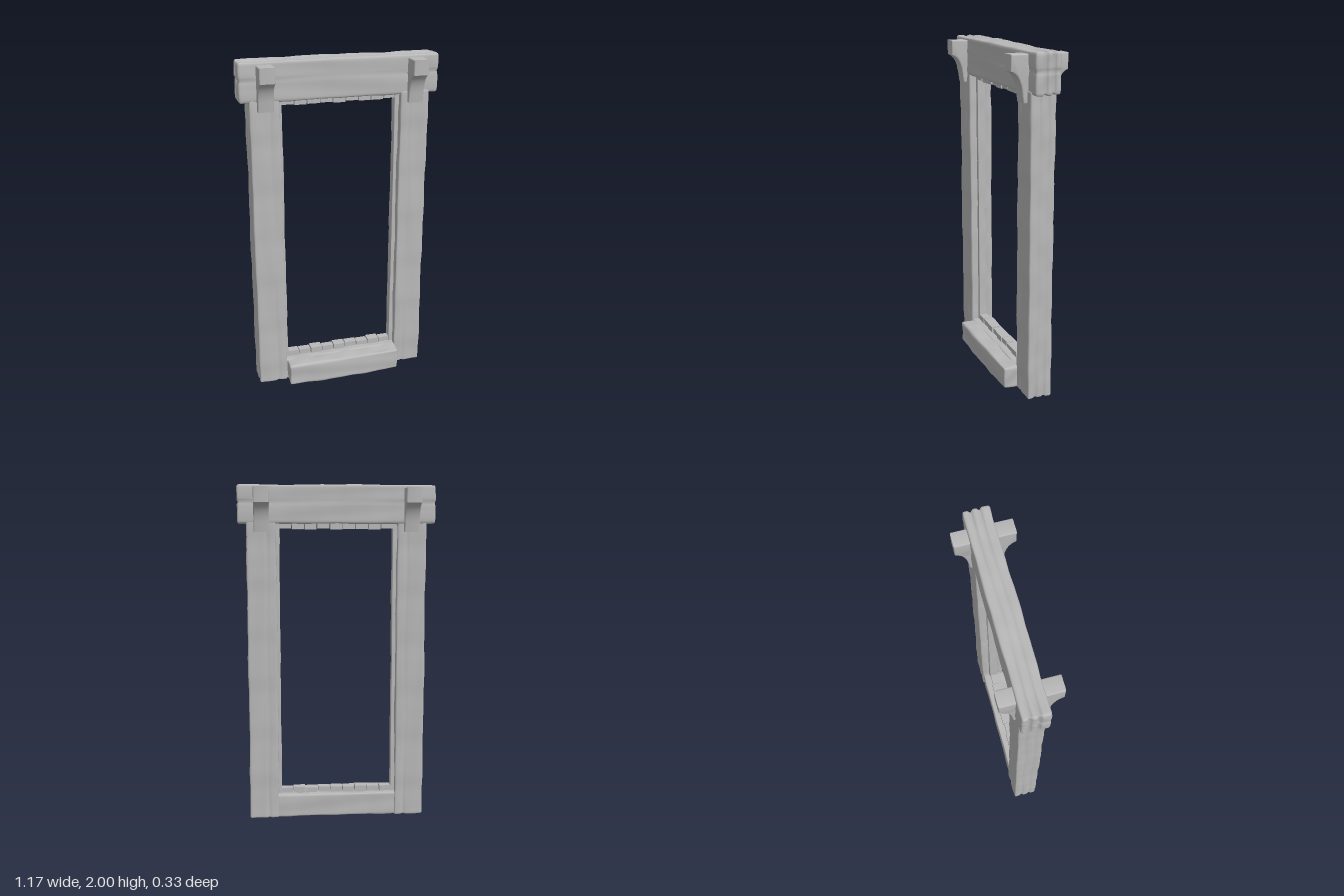
import * as THREE from 'three';
import { mergeVertices, toCreasedNormals } from 'three/addons/utils/BufferGeometryUtils.js';

const weathered = new THREE.MeshStandardMaterial({ color: 0xb8b8b8 });
weathered.name = 'weatheredGrey';

// Smooth unevenness in 0..1, stretched along the beam
function wobble(along, a, b, seed) {
  const s = Math.sin(along * 9 + seed * 1.7 + a * 14) + Math.sin(along * 21 + seed * 3.1 - b * 25)
    + 0.8 * Math.sin(along * 5 + a * 55 + b * 40 + seed) + 0.5 * Math.sin(along * 43 + seed * 5 + b * 30);
  return 0.5 + s / 6.6;
}

// Rough hewn beam between two corners: rounded edges, dents, lengthwise cracks
// cracks: list of [cross axis, position, depth]
function beam(name, min, max, { radius = 0.014, rough = 0.009, seed = 1, cracks = [] } = {}) {
  const lo = new THREE.Vector3(...min), hi = new THREE.Vector3(...max);
  const size = hi.clone().sub(lo), mid = lo.clone().add(hi).multiplyScalar(0.5);
  const long = ['x', 'y', 'z'].reduce((m, k) => (size[k] > size[m] ? k : m), 'x');
  const [a, b] = ['x', 'y', 'z'].filter(k => k !== long);
  const segs = k => (k === long ? 64 : 20);
  const geo = new THREE.BoxGeometry(size.x, size.y, size.z, segs('x'), segs('y'), segs('z'));
  geo.deleteAttribute('uv');
  geo.deleteAttribute('normal');
  const pos = geo.attributes.position;
  const half = size.clone().multiplyScalar(0.5);
  const inner = half.clone().subScalar(radius), outer = inner.clone().negate();
  const p = new THREE.Vector3(), c = new THREE.Vector3(), n = new THREE.Vector3();
  for (let i = 0; i < pos.count; i++) {
    p.fromBufferAttribute(pos, i);
    p[long] = half[long] * Math.sin((p[long] / half[long]) * Math.PI / 2);
    c.copy(p).clamp(outer, inner);
    n.copy(p).sub(c).normalize();
    p.copy(c).addScaledVector(n, radius);
    let dent = rough * wobble(p[long], p[a], p[b], seed);
    const nearEnd = Math.pow(Math.abs(p[long]) / half[long], 3);
    for (const [axis, at, depth] of cracks) {
      const d = (p[axis] + mid[axis] - at - 0.004 * Math.sin(p[long] * 7 + seed)) / 0.008;
      dent += depth * (0.3 + 0.7 * nearEnd) * Math.exp(-d * d) * (1 - Math.abs(n[axis]));
    }
    p.addScaledVector(n, -dent);
    pos.setXYZ(i, p.x, p.y, p.z);
  }
  const smooth = mergeVertices(geo, 1e-5);
  smooth.computeVertexNormals();
  const mesh = new THREE.Mesh(smooth, weathered);
  mesh.name = name;
  mesh.position.copy(mid);
  return mesh;
}

// Bracket running through the lintel, flared on both sides by a concave curve
function bracket(name, x) {
  const s = new THREE.Shape();
  s.moveTo(-0.085, 1.735);
  s.lineTo(0.085, 1.735);
  s.lineTo(0.09, 1.77);
  s.bezierCurveTo(0.095, 1.83, 0.115, 1.885, 0.157, 1.9);
  s.lineTo(0.158, 1.976);
  s.lineTo(-0.158, 1.976);
  s.lineTo(-0.157, 1.9);
  s.bezierCurveTo(-0.115, 1.885, -0.095, 1.83, -0.09, 1.77);
  s.closePath();
  const geo = new THREE.ExtrudeGeometry(s, {
    depth: 0.076, bevelEnabled: true, bevelSize: 0.007, bevelThickness: 0.007, bevelSegments: 3, curveSegments: 10,
  });
  geo.translate(0, 0, -0.038);
  geo.rotateY(-Math.PI / 2);
  const mesh = new THREE.Mesh(toCreasedNormals(geo, 0.7), weathered);
  mesh.name = name;
  mesh.position.x = x;
  return mesh;
}

// Row of uneven small blocks lining the opening above or below
function blockRow(name, y0, y1, grow) {
  const row = new THREE.Group();
  row.name = name;
  const count = 9, w = 0.68 / count;
  for (let i = 0; i < count; i++) {
    const drop = 0.006 * (0.5 + 0.5 * Math.sin(i * 2.4 + y0));
    const h = y1 - y0 - drop;
    const block = new THREE.Mesh(new THREE.BoxGeometry(w - 0.005, h, 0.05 + 0.008 * Math.sin(i * 3.7)), weathered);
    block.name = 'liningBlock';
    block.position.set(-0.34 + (i + 0.5) * w, grow > 0 ? y0 + h / 2 : y1 - h / 2, 0);
    row.add(block);
  }
  return row;
}

export function createModel() {
  const model = new THREE.Group();
  model.name = 'doorFrame';

  // Lintel and foot beams
  model.add(beam('lintel', [-0.584, 1.772, -0.084], [0.584, 2.004, 0.074], {
    seed: 2, radius: 0.018,
    cracks: [['z', -0.035, 0.016], ['z', 0.012, 0.016], ['y', 1.9, 0.006]],
  }));
  model.add(beam('footBeam', [-0.37, 0.005, -0.072], [0.37, 0.15, 0.07], { seed: 5 }));
  model.add(beam('frontSill', [-0.36, 0, 0.02], [0.364, 0.149, 0.156], { seed: 7, radius: 0.02, rough: 0.013 }));

  // Posts, inner lining and brackets on both sides
  for (const side of [-1, 1]) {
    const label = side > 0 ? 'left' : 'right';
    const span = (a, b) => (side > 0 ? [a, b] : [-b, -a]);
    const [p0, p1] = span(0.35, 0.531);
    model.add(beam(label + 'Post', [p0, 0.003, -0.08], [p1, 1.8, 0.075], {
      seed: 10 + side * 3,
      cracks: [['z', 0.022, 0.01], ['z', -0.03, 0.01], ['x', side * 0.41, 0.006]],
    }));
    const [l0, l1] = span(0.332, 0.375);
    model.add(beam(label + 'Lining', [l0, 0.12, -0.028], [l1, 1.79, 0.028], { seed: 20 + side, radius: 0.006, rough: 0.006 }));
    model.add(bracket(label + 'Bracket', side * 0.438));
  }

  model.add(blockRow('bottomLining', 0.12, 0.181, 1));
  model.add(blockRow('topLining', 1.743, 1.8, -1));
  return model;
}
